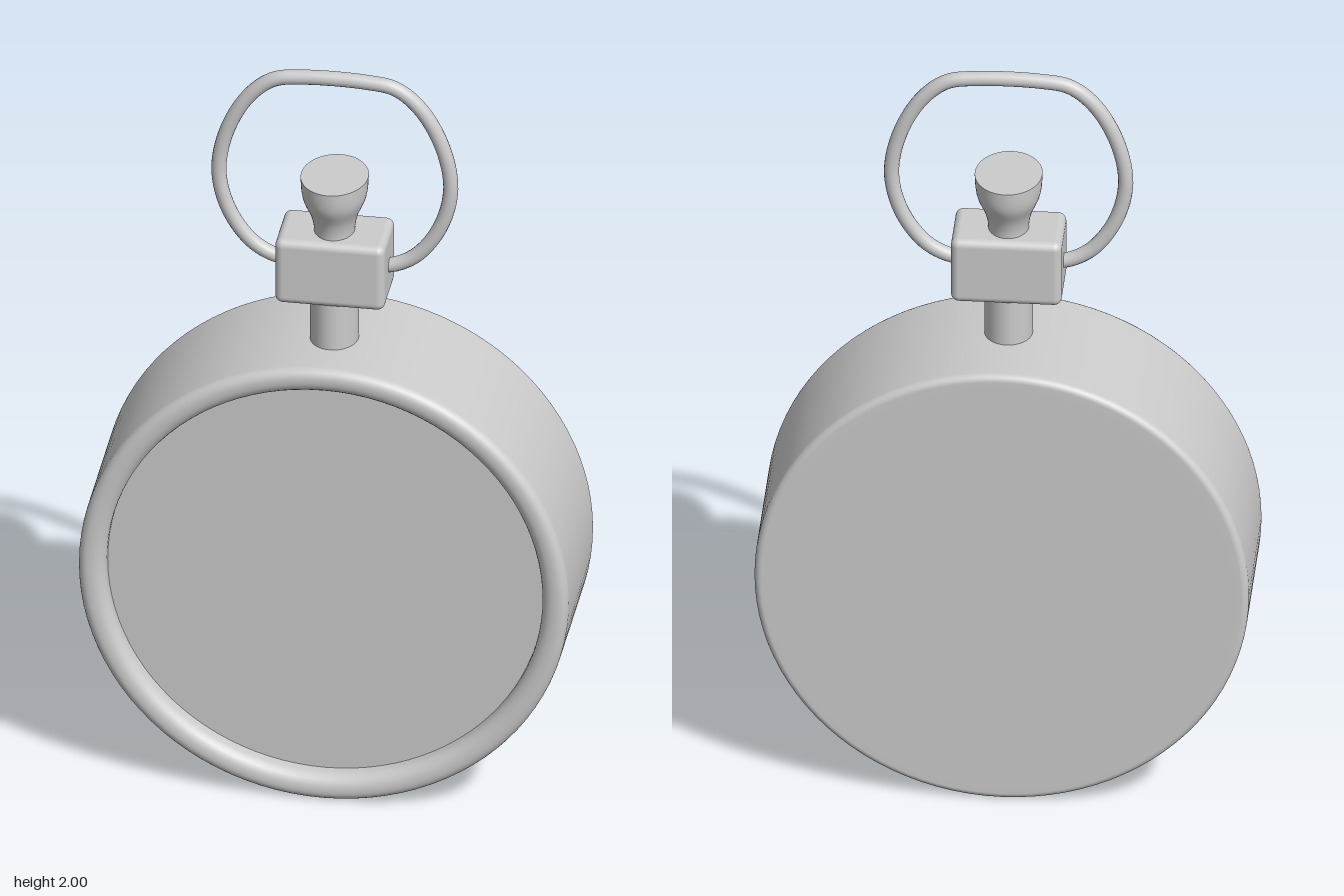
import * as THREE from 'three';
import { RoundedBoxGeometry } from 'three/addons/geometries/RoundedBoxGeometry.js';

const material = new THREE.MeshStandardMaterial({ color: 0xcccccc });
const CENTRE_Y = 0.623;
const STEM_Z = 0.017;

function part(parent, name, geometry, x = 0, y = 0, z = 0) {
  const mesh = new THREE.Mesh(geometry, material);
  mesh.name = name;
  mesh.position.set(x, y, z);
  parent.add(mesh);
  return mesh;
}

// Points of a circular arc in a lathe profile, angles in degrees
function arc(cx, cy, r, from, to, steps = 6) {
  return Array.from({ length: steps + 1 }, (_, i) => {
    const a = THREE.MathUtils.degToRad(from + ((to - from) * i) / steps);
    return new THREE.Vector2(cx + r * Math.cos(a), cy + r * Math.sin(a));
  });
}

export function createModel() {
  const group = new THREE.Group();

  // Case: flat back, straight wall and a rounded rim around the recess
  const caseProfile = [
    new THREE.Vector2(0, -0.208),
    new THREE.Vector2(0.58, -0.208),
    ...arc(0.603, -0.19, 0.018, -90, 0),
    new THREE.Vector2(0.621, -0.16),
    new THREE.Vector2(0.621, 0.15),
    ...arc(0.596, 0.183, 0.025, 0, 90),
    ...arc(0.589, 0.172, 0.036, 90, 180),
    new THREE.Vector2(0.553, 0.14),
  ];
  part(group, 'case', new THREE.LatheGeometry(caseProfile, 96).rotateX(Math.PI / 2), 0, CENTRE_Y);

  // Dial set inside the rim
  part(group, 'dial', new THREE.CircleGeometry(0.556, 96), 0, CENTRE_Y, 0.155);

  // Stem, slightly oval
  part(group, 'stem', new THREE.CylinderGeometry(0.061, 0.061, 0.18, 40), 0, 1.3, STEM_Z + 0.003)
    .scale.z = 1.23;

  // Block holding the ring
  part(group, 'block', new RoundedBoxGeometry(0.278, 0.182, 0.176, 4, 0.02), 0, 1.46, STEM_Z);

  // Winding crown, flared and oval with a flat top
  const flare = new THREE.SplineCurve([
    [0.051, 1.53], [0.052, 1.565], [0.06, 1.6], [0.077, 1.64], [0.083, 1.67], [0.085, 1.705],
  ].map(([x, y]) => new THREE.Vector2(x, y)));
  part(group, 'crown', new THREE.LatheGeometry(flare.getPoints(20), 48), 0, 0, STEM_Z)
    .scale.z = 1.24;
  part(group, 'crownTop', new THREE.CircleGeometry(0.085, 48).rotateX(-Math.PI / 2), 0, 1.705, STEM_Z)
    .scale.z = 1.24;

  // Hanging ring: one half of the path, mirrored, with ends inside the block
  const half = [
    [0.1, 1.455], [0.15, 1.46], [0.21, 1.495], [0.268, 1.58],
    [0.294, 1.69], [0.273, 1.81], [0.217, 1.915], [0.155, 1.967], [0.08, 1.98],
  ];
  const path = [...half, ...half.map(([x, y]) => [-x, y]).reverse()]
    .map(([x, y]) => new THREE.Vector3(x, y, 0));
  const ring = new THREE.CatmullRomCurve3(path);
  part(group, 'ring', new THREE.TubeGeometry(ring, 120, 0.019, 16), 0, 0, 0.015);

  return group;
}
